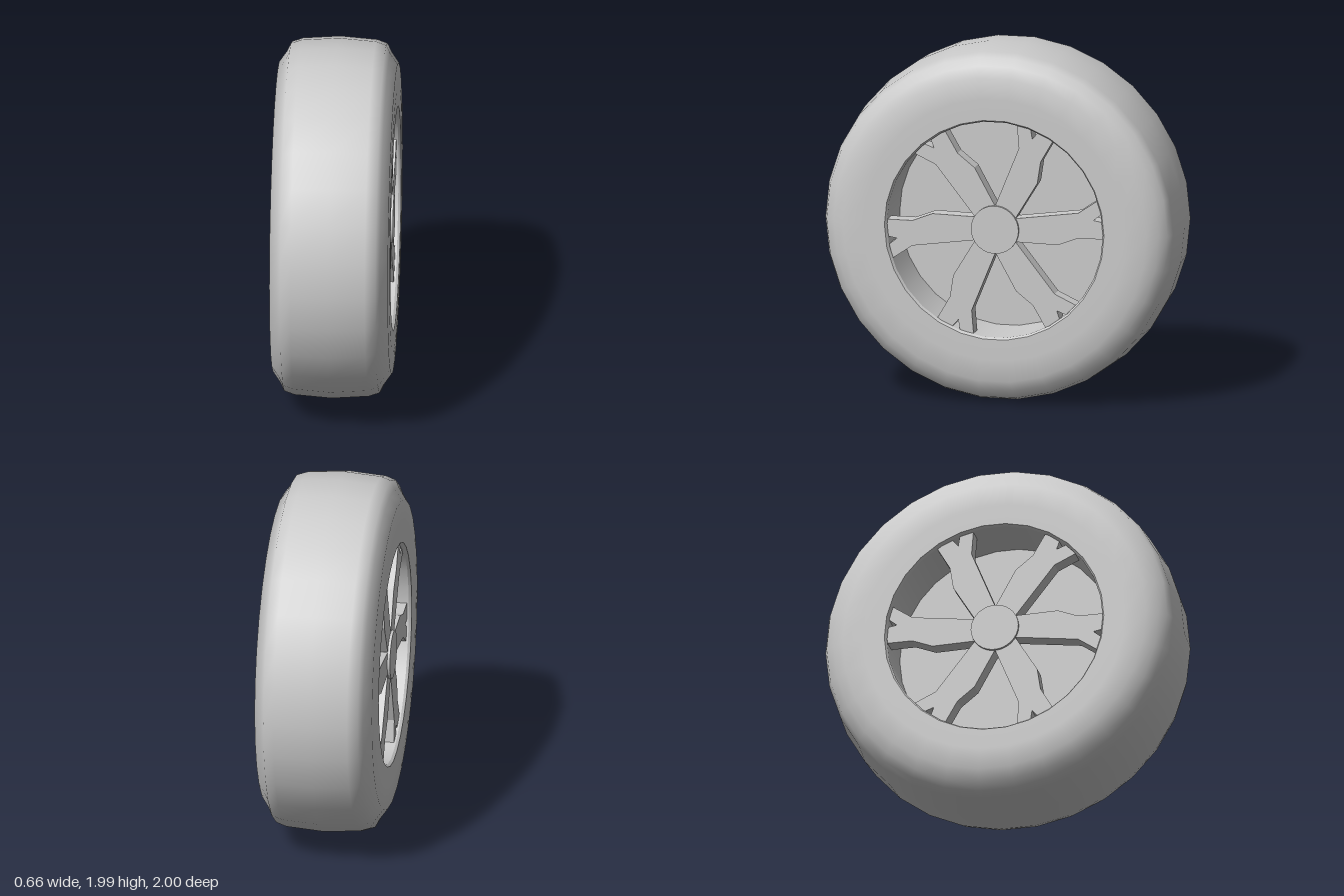
import * as THREE from 'three';

const SIDES = 30;
const HUB_Y = 0.997;
const grey = new THREE.MeshStandardMaterial({ color: 0xcccccc });

function mesh(name, geometry) {
  const m = new THREE.Mesh(geometry, grey);
  m.name = name;
  return m;
}

// Ring turned around the x axis from [radius, x] pairs
function turned(name, pairs) {
  const points = pairs.map(([r, x]) => new THREE.Vector2(r, x));
  return mesh(name, new THREE.LatheGeometry(points, SIDES).rotateZ(-Math.PI / 2));
}

// Half profile (x > 0) completed by its mirror image; runs from -x to +x
function mirrored(half) {
  const other = half.filter(([, x]) => x > 0).map(([r, x]) => [r, -x]).reverse();
  return [...other, ...half];
}

// Forked, slightly skewed spoke with a small notch at the rim
function spokeGeometry(flip) {
  const outline = [
    [0.08, -0.06], [0.115, -0.065], [0.355, -0.07], [0.47, -0.025], [0.615, -0.025],
    [0.61, 0.07], [0.557, 0.08], [0.6, 0.115], [0.58, 0.193],
    [0.47, 0.117], [0.115, 0.067], [0.08, 0.06],
  ];
  const shape = new THREE.Shape(outline.map(([u, v]) => new THREE.Vector2(u, v * flip)));
  const g = new THREE.ExtrudeGeometry(shape, { depth: 0.09, bevelEnabled: false });
  return g.translate(0, 0, 0.215).rotateY(Math.PI / 2);
}

// Six spokes and a hub cap for one side of the wheel
function wheelFace(name, flip) {
  const face = new THREE.Group();
  face.name = name;
  const geometry = spokeGeometry(flip);
  for (let i = 0; i < 6; i++) {
    const spoke = mesh('spoke', geometry);
    spoke.rotation.x = (i * Math.PI) / 3;
    face.add(spoke);
  }
  const cap = new THREE.CylinderGeometry(0.135, 0.135, 0.12, SIDES);
  cap.rotateZ(-Math.PI / 2).translate(0.26, 0, 0);
  face.add(mesh('hubCap', cap));
  return face;
}

export function createModel() {
  const wheel = new THREE.Group();
  wheel.name = 'wheel';
  wheel.position.y = HUB_Y;

  // Tread, rounded shoulders and flat sidewalls
  wheel.add(turned('tyre', mirrored([
    [1, 0], [0.985, 0.205], [0.965, 0.263], [0.92, 0.285], [0.86, 0.327], [0.74, 0.33], [0.622, 0.33],
  ])));

  // Bevelled lips and the inside of the rim, facing the axle
  for (const s of [1, -1]) {
    const lip = [[0.622, 0.33 * s], [0.612, 0.315 * s]];
    wheel.add(turned('rimLip', s > 0 ? lip : lip.reverse()));
  }
  wheel.add(turned('rimBarrel', [[0.612, 0.315], [0.612, -0.315]]));

  // Central wall closing the rim
  const wall = new THREE.CylinderGeometry(0.612, 0.612, 0.01, SIDES);
  wheel.add(mesh('centreWall', wall.rotateZ(-Math.PI / 2)));

  // Both faces mirror each other
  const left = wheelFace('leftFace', 1);
  const right = wheelFace('rightFace', -1);
  right.rotation.y = Math.PI;
  wheel.add(left, right);

  const model = new THREE.Group();
  model.name = 'model';
  model.add(wheel);
  return model;
}
